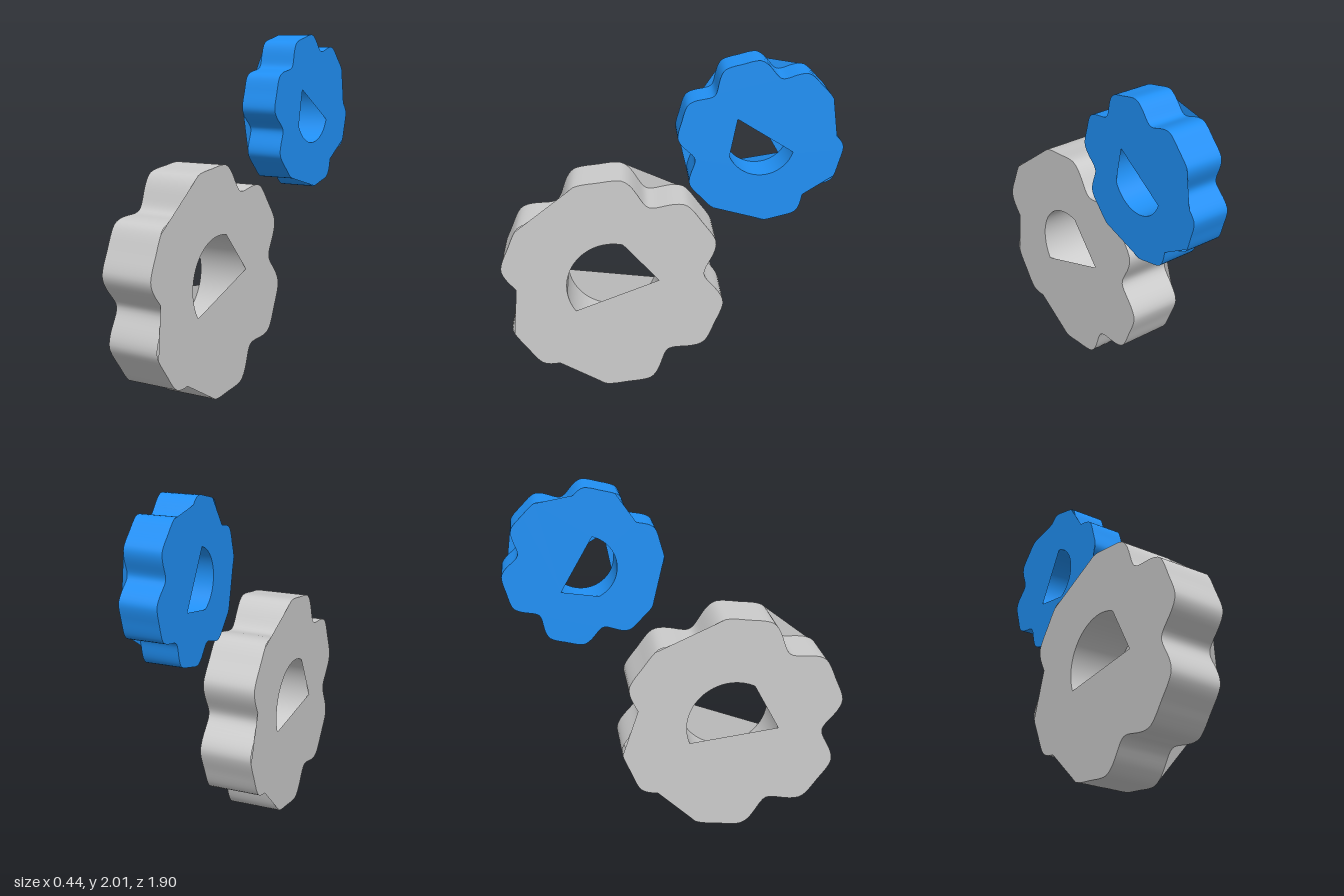
import * as THREE from 'three';

const rad = THREE.MathUtils.degToRad;
const smooth = THREE.MathUtils.smoothstep;
const HOLE = 0.268, DEPTH = 0.31;

// Six-lobed rim: broad, nearly flat lobes with rounded valleys
function rimRadius(deg) {
  const off = Math.abs((((deg + 30) % 60) + 60) % 60 - 30);
  return 0.53 + 0.123 * (1 - smooth(off, 11, 30)) - 0.008 * (1 - smooth(off, 0, 11));
}
const holeRadius = () => HOLE;

// Closed ring of points; the curve runs straight across each skipped range of degrees
function ring(radius, skips = []) {
  const pts = [];
  for (let d = 0; d < 360; d += 2) {
    if (skips.some(([a, b]) => d > a && d < b)) continue;
    const r = radius(d);
    pts.push(new THREE.Vector2(r * Math.cos(rad(d)), r * Math.sin(rad(d))));
  }
  return pts;
}

// Smooth wall swept along z from a closed ring
function wall(pts, inward) {
  const pos = [], idx = [], n = pts.length;
  pts.forEach((p) => pos.push(p.x, p.y, -DEPTH / 2, p.x, p.y, DEPTH / 2));
  for (let i = 0; i < n; i++) {
    const a = 2 * i, b = 2 * ((i + 1) % n);
    if (inward) idx.push(a, b + 1, b, a, a + 1, b + 1);
    else idx.push(a, b, b + 1, a, b + 1, a + 1);
  }
  const g = new THREE.BufferGeometry();
  g.setAttribute('position', new THREE.Float32BufferAttribute(pos, 3));
  g.setIndex(idx);
  g.computeVertexNormals();
  return g;
}

function createGear(name, color) {
  const gear = new THREE.Group();
  gear.name = name;
  const material = new THREE.MeshStandardMaterial({ color, side: THREE.DoubleSide });
  const add = (part, geometry) => {
    const mesh = new THREE.Mesh(geometry, material);
    mesh.name = part;
    gear.add(mesh);
    return mesh;
  };

  add('toothedRim', wall(ring(rimRadius), false));
  add('boreWall', wall(ring(holeRadius), true));

  // Face plate: bridges some valleys and closes the bore down to a D shape
  const plate = new THREE.Shape(ring(rimRadius, [[12, 50], [84, 110], [140, 168]]));
  plate.holes.push(new THREE.Path(ring(holeRadius, [[118, 270], [270, 340]])));
  const plateGeometry = new THREE.ShapeGeometry(plate);
  add('outerFace', plateGeometry).position.z = DEPTH / 2;

  // The opposite face is the same plate turned over
  const back = add('innerFace', plateGeometry);
  back.rotation.x = Math.PI;
  back.position.z = -DEPTH / 2;
  return gear;
}

export function createModel() {
  const model = new THREE.Group();
  model.name = 'gearPair';

  const large = createGear('largeGear', 0xcccccc);
  large.rotation.set(0, Math.PI / 2, rad(97));
  large.position.set(-0.07, 0.65, 0.31);

  const small = createGear('smallGear', 0x2090f5);
  small.rotation.set(0, Math.PI / 2, rad(224));
  small.scale.setScalar(0.69);
  small.position.set(0.109, 1.556, -0.5);

  model.add(large, small);
  return model;
}
